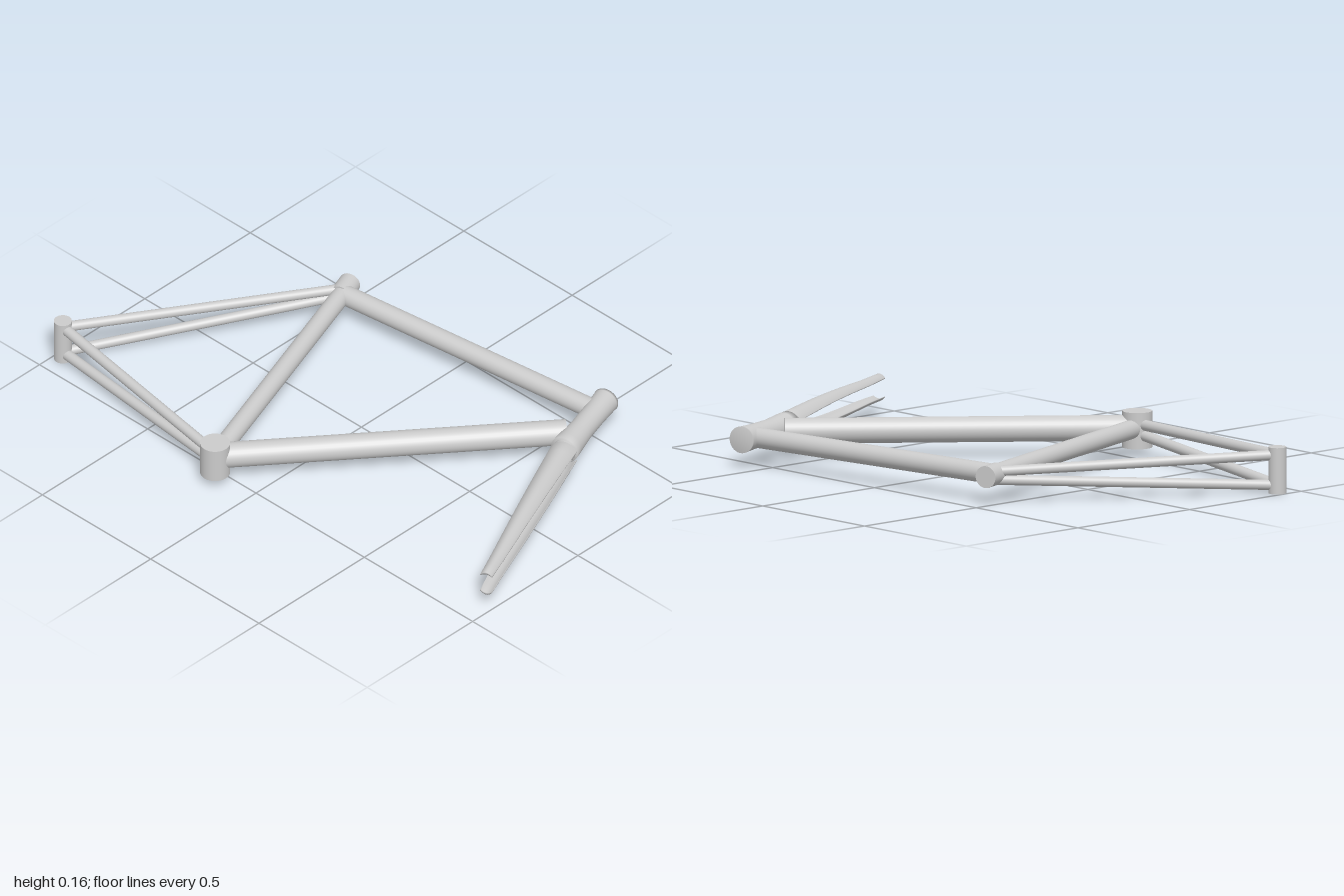
import * as THREE from 'three';

const MID = 0.095; // height of the frame's centre plane
const material = new THREE.MeshStandardMaterial({ color: 0xcccccc });
const thin = new THREE.MeshStandardMaterial({ color: 0xcccccc, side: THREE.DoubleSide });
const V = (x, y, z) => new THREE.Vector3(x, y, z);

// Round tube between two points, with optional taper
function tube(name, a, b, r0, r1 = r0) {
  const dir = b.clone().sub(a);
  const mesh = new THREE.Mesh(new THREE.CylinderGeometry(r1, r0, dir.length(), 32), material);
  mesh.position.copy(a).add(b).multiplyScalar(0.5);
  mesh.quaternion.setFromUnitVectors(V(0, 1, 0), dir.normalize());
  mesh.name = name;
  return mesh;
}

// Head tube: waisted profile turned around its own axis
function headTube(a, b) {
  const dir = b.clone().sub(a), len = dir.length();
  const profile = [[0, 0], [0.045, 0], [0.044, 0.03], [0.041, 0.3], [0.041, 0.6], [0.048, 0.9], [0.049, 1], [0, 1]]
    .map(([r, t]) => new THREE.Vector2(r, t * len));
  const mesh = new THREE.Mesh(new THREE.LatheGeometry(profile, 32), material);
  mesh.position.copy(a);
  mesh.quaternion.setFromUnitVectors(V(0, 1, 0), dir.normalize());
  mesh.name = 'headTube';
  return mesh;
}

// Fork blade: thin curved shell, tapering from crown to tip
function forkBlade(side) {
  const start = V(0.665, MID, -0.28), end = V(0.975, MID, 0.41);
  const across = end.clone().sub(start).cross(V(0, 1, 0)).normalize();
  const rows = 16, arc = 10, ring = 2 * (arc + 1);
  const pos = [], idx = [];
  for (let i = 0; i <= rows; i++) {
    const t = i / rows;
    const half = THREE.MathUtils.lerp(0.045, 0.021, t);
    const crest = 0.046 + 0.006 * Math.sin(Math.PI * Math.min(1, t * 1.2));
    const sag = THREE.MathUtils.lerp(0.026, 0.013, t);
    const centre = start.clone().lerp(end, t);
    for (let j = 0; j < ring; j++) {
      const outer = j <= arc;
      const u = outer ? -1 + 2 * j / arc : 1 - 2 * (j - arc - 1) / arc;
      const lift = crest - sag * u * u - (outer ? 0 : 0.008 * (1 - 0.6 * u * u));
      const p = centre.clone().addScaledVector(across, u * half);
      pos.push(p.x, p.y + side * lift, p.z);
    }
  }
  const quad = (a, b, c, d) => side > 0 ? idx.push(a, b, c, a, c, d) : idx.push(a, c, b, a, d, c);
  for (let i = 0; i < rows; i++) {
    for (let j = 0; j < ring; j++) {
      const k = (j + 1) % ring;
      quad(i * ring + j, i * ring + k, (i + 1) * ring + k, (i + 1) * ring + j);
    }
  }
  // Close both ends
  for (let j = 0; j < arc; j++) {
    const m = ring - 1 - j, e = rows * ring;
    quad(j, m, m - 1, j + 1);
    quad(e + j, e + j + 1, e + m - 1, e + m);
  }
  // Find which way the shell winds, so its outside faces outwards
  const g = new THREE.BufferGeometry();
  g.setAttribute('position', new THREE.Float32BufferAttribute(pos, 3));
  g.setIndex(idx);
  g.computeVertexNormals();
  if (g.attributes.normal.getY(8 * ring + arc / 2) * side < 0) {
    g.setIndex(idx.reverse());
    g.computeVertexNormals();
  }
  const mesh = new THREE.Mesh(g, thin);
  mesh.name = side > 0 ? 'upperForkBlade' : 'lowerForkBlade';
  return mesh;
}

export function createModel() {
  const frame = new THREE.Group();
  frame.name = 'bicycleFrame';

  // Main triangle
  frame.add(
    tube('bottomBracket', V(-0.15, 0.03, 0.54), V(-0.15, 0.152, 0.54), 0.05),
    tube('seatTube', V(-0.15, MID, 0.54), V(-0.475, MID, -0.42), 0.032),
    tube('seatCollar', V(-0.489, MID, -0.448), V(-0.462, MID, -0.374), 0.037),
    tube('topTube', V(-0.46, MID, -0.388), V(0.56, MID, -0.515), 0.034),
    tube('downTube', V(-0.135, MID, 0.515), V(0.59, MID, -0.365), 0.043),
    headTube(V(0.563, MID, -0.583), V(0.653, MID, -0.292)),
  );

  // Rear stays, spreading from the centre plane to the axle ends
  const axle = [-0.97, 0.42];
  frame.add(tube('rearAxle', V(axle[0], 0, axle[1]), V(axle[0], 0.156, axle[1]), 0.03));
  for (const side of [1, -1]) {
    const drop = V(axle[0], 0.078 + side * 0.051, axle[1]);
    frame.add(
      tube('chainStay', V(-0.15, 0.092 + side * 0.016, 0.54), drop, 0.018),
      tube('seatStay', V(-0.475, 0.092 + side * 0.014, -0.395), drop, 0.017),
    );
  }

  // Fork
  frame.add(tube('forkCrown', V(0.645, MID, -0.32), V(0.663, MID, -0.268), 0.04));
  frame.add(forkBlade(1), forkBlade(-1));
  return frame;
}
